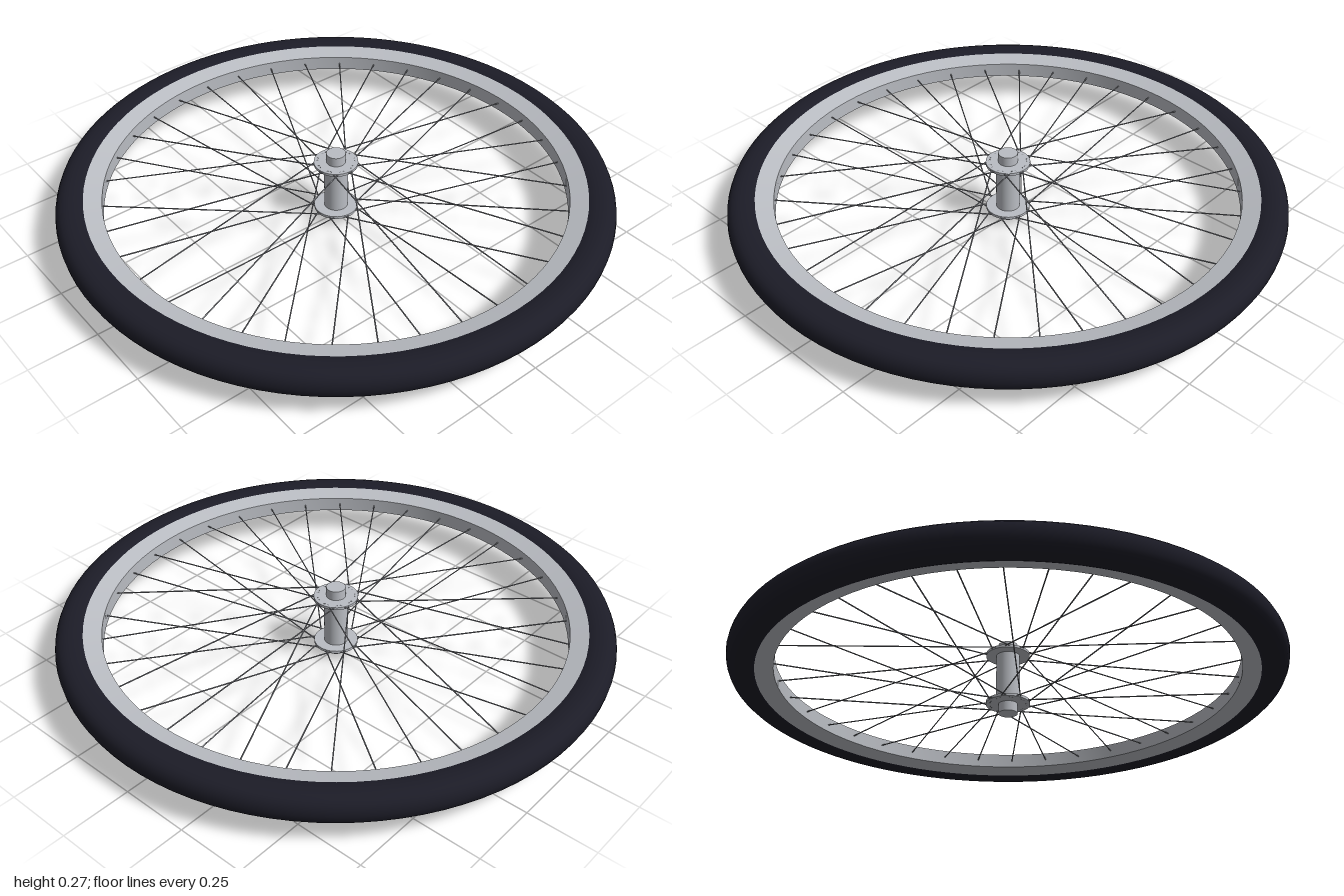
import * as THREE from 'three';
import { toCreasedNormals } from 'three/addons/utils/BufferGeometryUtils.js';

const MID = 0.137; // height of the wheel's centre plane

const rubber = new THREE.MeshStandardMaterial({ name: 'black rubber', color: 0x1c1c27 });
const metal = new THREE.MeshStandardMaterial({ name: 'silver metal', color: 0xbabdc3 });
const steel = new THREE.MeshStandardMaterial({ name: 'spoke steel', color: 0x86888e });

// Revolves a profile of [radius, height] pairs, keeping sharp edges crisp
function revolve(name, profile, material, segments) {
  const points = profile.map(([r, y]) => new THREE.Vector2(r, y));
  const geometry = toCreasedNormals(new THREE.LatheGeometry(points, segments), 0.6);
  const mesh = new THREE.Mesh(geometry, material);
  mesh.name = name;
  mesh.position.y = MID;
  return mesh;
}

// Thin straight rod between two points
function rod(name, from, to, radius, material) {
  const direction = to.clone().sub(from);
  const geometry = new THREE.CylinderGeometry(radius, radius, direction.length(), 6);
  const mesh = new THREE.Mesh(geometry, material);
  mesh.name = name;
  mesh.position.copy(from).add(to).multiplyScalar(0.5);
  mesh.quaternion.setFromUnitVectors(new THREE.Vector3(0, 1, 0), direction.normalize());
  return mesh;
}

function polar(radius, angle, y) {
  return new THREE.Vector3(radius * Math.cos(angle), y, radius * Math.sin(angle));
}

export function createModel() {
  const wheel = new THREE.Group();
  wheel.name = 'wheel';

  // Tyre: rounded section, open on the inside where the rim closes it
  const half = [[0.9, 0.044], [0.91, 0.0485], [0.925, 0.0515], [0.945, 0.053], [0.962, 0.051],
    [0.978, 0.045], [0.99, 0.034], [0.997, 0.019]];
  const tyre = [...half.map(([r, y]) => [r, -y]), [1, 0], ...half.slice().reverse()];
  wheel.add(revolve('tyre', tyre, rubber, 96));

  // Rim: sloping side faces and a flat inner wall
  const rim = [[0.9, 0.044], [0.836, 0.028], [0.836, -0.028], [0.9, -0.044]];
  wheel.add(revolve('rim', rim, metal, 96));

  // Hub: barrel, axle and a thin flange at each end
  const hub = new THREE.Group();
  hub.name = 'hub';
  const disc = (name, radius, height, y) => {
    const mesh = new THREE.Mesh(new THREE.CylinderGeometry(radius, radius, height, 32), metal);
    mesh.name = name;
    mesh.position.y = y;
    hub.add(mesh);
  };
  disc('hubBarrel', 0.043, 0.2, MID);
  disc('axle', 0.035, 2 * MID, MID);
  for (const side of [-1, 1]) disc('flange', 0.08, 0.01, MID + side * 0.096);
  wheel.add(hub);

  // Spokes: alternate between flanges and lean both ways, crossing each other
  const spokes = new THREE.Group();
  spokes.name = 'spokes';
  const count = 36;
  for (let i = 0; i < count; i++) {
    const angle = (i / count) * Math.PI * 2;
    const side = i % 2 ? -1 : 1;
    const lean = Math.floor(i / 2) % 2 ? 1 : -1;
    const hole = polar(0.065, angle + lean * 0.8, MID + side * 0.1);
    spokes.add(rod('spoke', hole, polar(0.84, angle, MID), 0.0024, steel));
  }
  wheel.add(spokes);

  return wheel;
}
